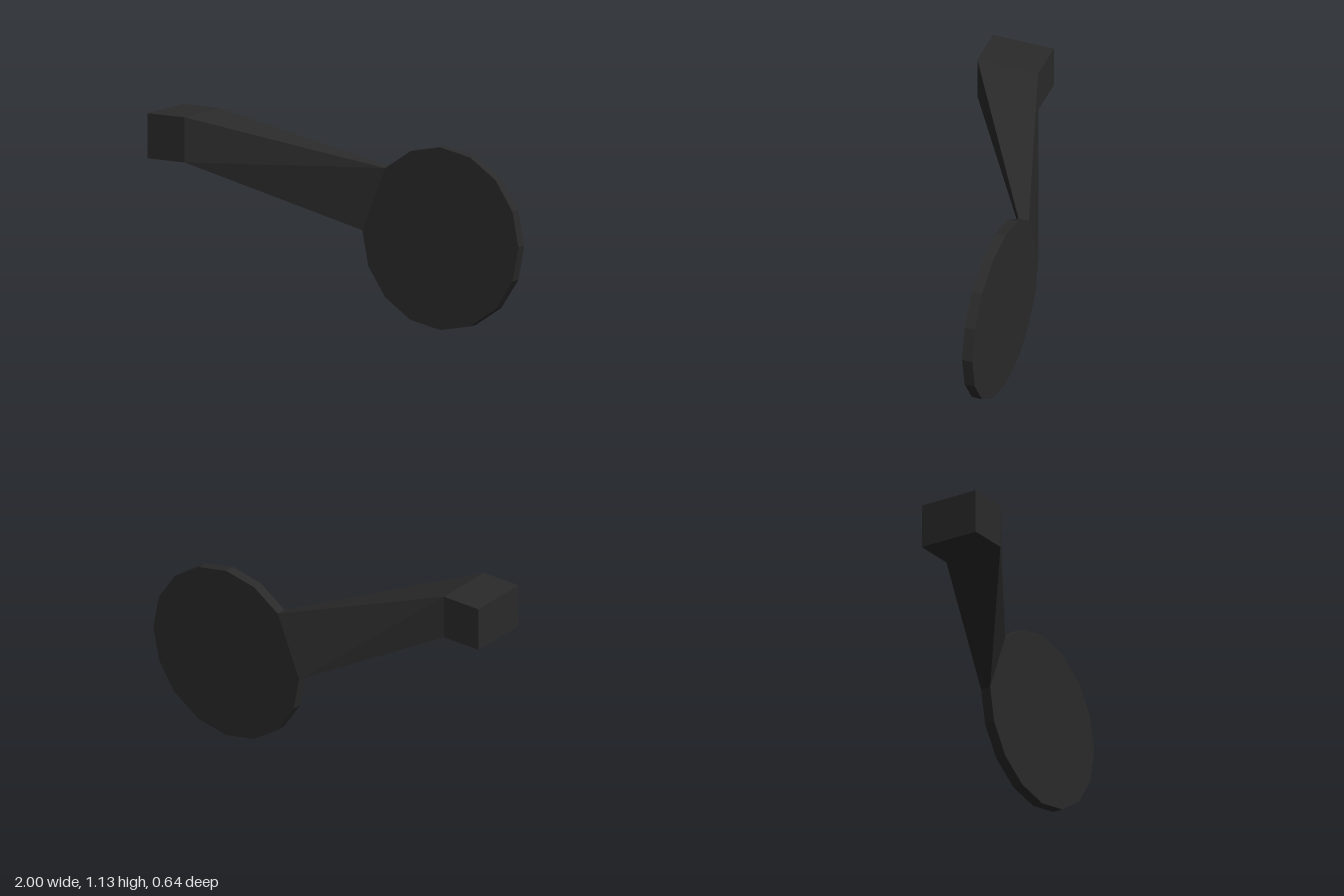
import * as THREE from 'three';

export function createModel() {
  const model = new THREE.Group();
  const charcoal = new THREE.MeshStandardMaterial({ color: 0x2a2a2a });
  const zBack = -0.322, zFront = -0.263;

  // Disc: 16-sided plate with the corner under the arm cut off to a straight chord
  const rim = [];
  for (let i = 0; i < 16; i++) {
    if (i === 7) continue;
    const a = (i / 16) * Math.PI * 2;
    rim.push(new THREE.Vector2(0.5 + 0.5 * Math.cos(a), 0.5 + 0.5 * Math.sin(a)));
  }
  const discGeometry = new THREE.ExtrudeGeometry(new THREE.Shape(rim), {
    depth: zFront - zBack, bevelEnabled: false,
  });
  discGeometry.translate(0, 0, zBack);
  const disc = new THREE.Mesh(discGeometry, charcoal);
  disc.name = 'disc';
  model.add(disc);

  // Arm: four-cornered sections from the block end to the chord of the disc
  const section = (xLow, yLow, xHigh, yHigh, back, front) => [
    [xLow, yLow, back], [xLow, yLow, front], [xHigh, yHigh, front], [xHigh, yHigh, back],
  ];
  const sections = [
    section(-1, 0.885, -1, 1.132, -0.03, 0.322),
    section(-0.763, 0.885, -0.763, 1.132, -0.03, 0.322),
    section(0, 0.5, 0.1464, 0.8536, zBack, zFront),
  ];
  const positions = [];
  const quad = (a, b, c, d) => positions.push(...a, ...b, ...c, ...a, ...c, ...d);
  quad(...sections[0]);
  for (let i = 0; i < sections.length - 1; i++) {
    for (let j = 0; j < 4; j++) {
      const k = (j + 1) % 4;
      quad(sections[i][j], sections[i + 1][j], sections[i + 1][k], sections[i][k]);
    }
  }
  const armGeometry = new THREE.BufferGeometry();
  armGeometry.setAttribute('position', new THREE.Float32BufferAttribute(positions, 3));
  armGeometry.computeVertexNormals();
  const arm = new THREE.Mesh(armGeometry, charcoal);
  arm.name = 'arm';
  model.add(arm);

  return model;
}
